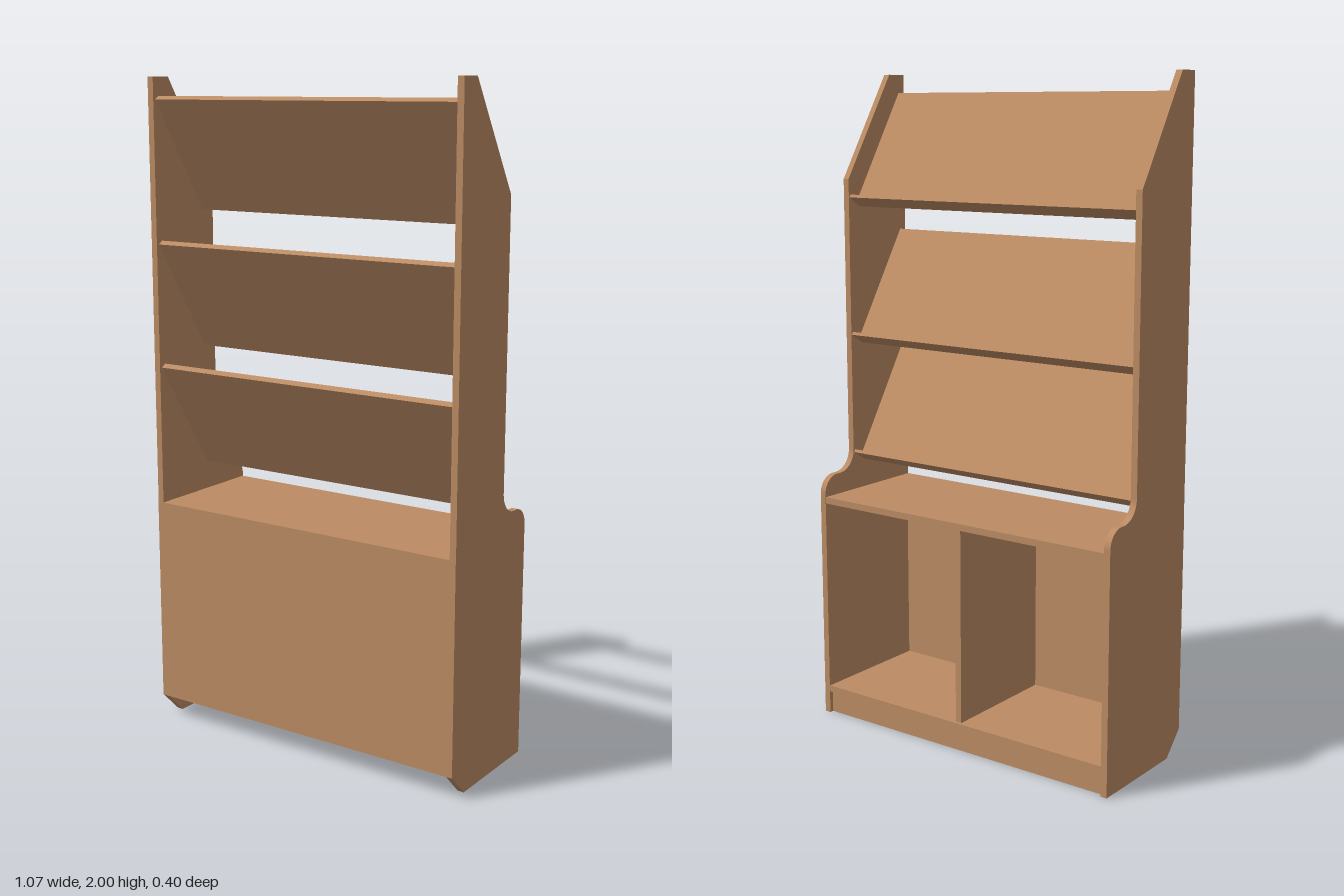
import * as THREE from 'three';

const wood = new THREE.MeshStandardMaterial({ color: 0xbc8c64 });
wood.name = 'wood';

const OUTER = 0.533, INNER = 0.513; // half widths outside and between the sides

export function createModel() {
  const model = new THREE.Group();
  model.name = 'bookcase';

  function add(name, geometry) {
    const mesh = new THREE.Mesh(geometry, wood);
    mesh.name = name;
    model.add(mesh);
    return mesh;
  }

  // Box given by its limits on each axis
  function board(name, [x0, x1], [y0, y1], [z0, z1]) {
    add(name, new THREE.BoxGeometry(x1 - x0, y1 - y0, z1 - z0))
      .position.set((x0 + x1) / 2, (y0 + y1) / 2, (z0 + z1) / 2);
  }

  // Extrude a (z, y) profile across x, from x0 to x1
  function across(name, shape, x0, x1) {
    const g = new THREE.ExtrudeGeometry(shape, { depth: x1 - x0, bevelEnabled: false, curveSegments: 10 });
    g.rotateY(-Math.PI / 2);
    g.translate(x1, 0, 0);
    add(name, g);
  }

  // Side panels: chamfered foot, sloping top and an S-curve above the cabinet
  const side = new THREE.Shape();
  side.moveTo(0.2, 0.07);
  side.lineTo(0.2, 2);
  side.lineTo(0.132, 2);
  side.lineTo(-0.066, 1.685);
  side.lineTo(-0.066, 0.84);
  side.absarc(-0.131, 0.84, 0.065, 0, -Math.PI / 2, true);
  side.absellipse(-0.145, 0.72, 0.055, 0.055, Math.PI / 2, Math.PI, false);
  side.lineTo(-0.2, 0);
  side.lineTo(0.132, 0);
  side.closePath();
  across('leftSide', side, INNER, OUTER);
  across('rightSide', side, -OUTER, -INNER);

  // Cabinet
  const span = [-INNER, INNER];
  board('cabinetTop', span, [0.69, 0.71], [-0.199, 0.196]);
  board('cabinetFloor', span, [0.07, 0.09], [-0.199, 0.196]);
  board('divider', [-0.01, 0.01], [0.09, 0.69], [-0.19, 0.196]);
  board('plinth', span, [0, 0.07], [-0.187, -0.167]);
  board('cabinetPanel', [-OUTER, OUTER], [0.07, 0.71], [0.196, 0.201]);

  // Tilted display shelves, each with a lip square to the board
  const angle = Math.atan2(0.848, 0.53);
  function tilted(name, y, a0, a1, b0, b1) {
    const corners = [[a0, b0], [a1, b0], [a1, b1], [a0, b1]].map(([a, b]) =>
      new THREE.Vector2(a, b).rotateAround(new THREE.Vector2(), angle).add(new THREE.Vector2(-0.028, y)));
    across(name, new THREE.Shape(corners), -INNER, INNER);
  }
  for (const y of [0.819, 1.194, 1.619]) {
    tilted('displayShelf', y, 0, 0.384, -0.019, 0);
    tilted('shelfLip', y, -0.01, 0, -0.019, 0.036);
  }

  return model;
}
